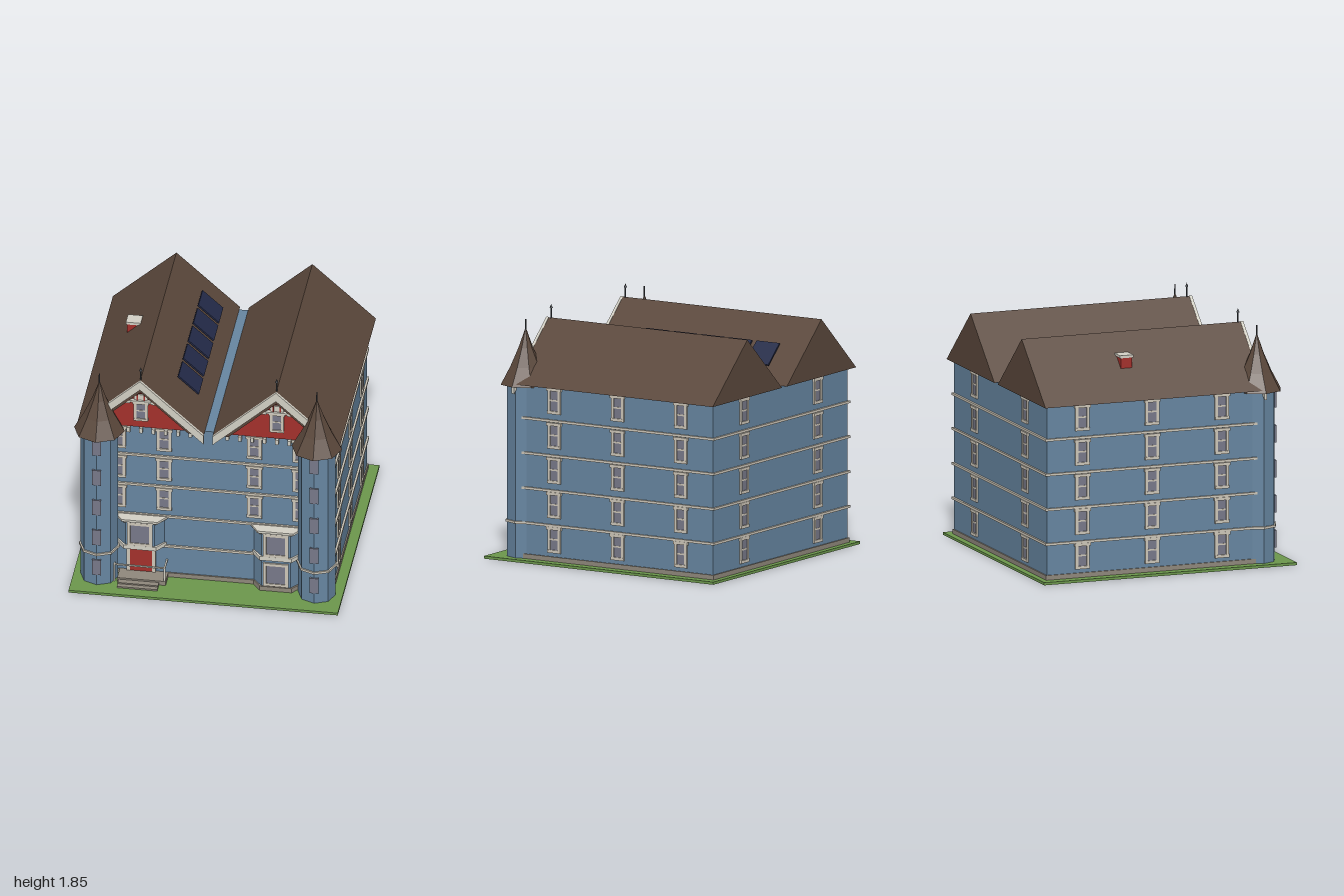
import * as THREE from 'three';

const mat = (name, color) => Object.assign(new THREE.MeshStandardMaterial({ color }), { name });

export function createModel() {
  const model = new THREE.Group();
  model.name = 'house';
  const M = {
    wall: mat('wall blue', 0x6685a0), roof: mat('roof brown', 0x5a473b), red: mat('gable red', 0xa3302b),
    trim: mat('trim cream', 0xd2cfc4), frame: mat('frame beige', 0xcdc6b8), glass: mat('glass grey', 0x777888),
    stone: mat('stone', 0x8f877b), grass: mat('grass', 0x6b964c), solar: mat('solar navy', 0x232a48),
    iron: mat('iron', 0x3f4349),
  };
  const add = (name, geo, m, x = 0, y = 0, z = 0, parent = model) => {
    const mesh = new THREE.Mesh(geo, m);
    mesh.name = name;
    mesh.position.set(x, y, z);
    parent.add(mesh);
    return mesh;
  };
  const box = (name, w, h, d, m, x, y, z, parent) => add(name, new THREE.BoxGeometry(w, h, d), m, x, y, z, parent);
  const poly = (pts) => new THREE.Shape(pts.map(([x, y]) => new THREE.Vector2(x, y)));
  const extrude = (pts, depth) => new THREE.ExtrudeGeometry(poly(pts), { depth, bevelEnabled: false });

  // Ground, walls and plinth
  const BX = 0.915, ZF = 0.7, ZB = -0.945, ZC = (ZF + ZB) / 2, DZ = ZF - ZB, RX = 0.505;
  box('ground', 2, 0.02, 2, M.grass, 0, 0.01, 0);
  box('walls', BX * 2, 1.3, DZ, M.wall, 0, 0.67, ZC);
  box('plinth', BX * 2 + 0.02, 0.035, DZ + 0.02, M.stone, 0, 0.0375, ZC);
  for (const y of [0.287, 0.547, 0.808, 1.068]) box('stringCourse', BX * 2 + 0.03, 0.018, DZ + 0.03, M.frame, 0, y, ZC);

  // Sash window with header, sill and two panes
  const sash = (x, y, z, turn = 0) => {
    const g = new THREE.Group();
    g.name = 'sashWindow';
    g.position.set(x, y, z);
    g.rotation.y = turn;
    model.add(g);
    for (const s of [-1, 1]) box('jamb', 0.022, 0.18, 0.024, M.frame, s * 0.044, 0, 0, g);
    box('header', 0.125, 0.022, 0.034, M.frame, 0, 0.087, 0, g);
    box('sill', 0.112, 0.022, 0.03, M.frame, 0, -0.085, 0, g);
    box('glass', 0.07, 0.16, 0.012, M.glass, 0, 0, 0, g);
    box('meetingRail', 0.07, 0.012, 0.018, M.frame, 0, 0.005, 0, g);
    return g;
  };
  for (let f = 0; f < 5; f++) {
    const y = 0.18 + f * 0.259;
    for (const s of [-1, 1]) {
      for (const z of [0.437, -0.115, -0.667]) sash(s * BX, y, z, s * Math.PI / 2);
      sash(s * 0.5, y, ZB, Math.PI);
      if (f > 1) for (const x of [0.335, 0.675]) sash(s * x, y, ZF);
    }
  }

  // Twin gabled roofs with decorated fronts
  const eave = 1.32, ridge = 1.75, half = 0.472, slope = (ridge - eave) / half;
  for (const s of [-1, 1]) {
    const g = new THREE.Group();
    g.name = 'gable';
    g.position.x = s * RX;
    model.add(g);
    add('roof', extrude([[-half, eave], [half, eave], [0, ridge]], 1.69), M.roof, 0, 0, -0.98, g);
    add('roofOverhang', extrude([[-half, eave], [-0.355, eave], [0, 1.645], [0.355, eave], [half, eave], [0, ridge]], 0.04),
      M.roof, 0, 0, 0.71, g);
    add('gableFace', extrude([[-0.4, eave], [0.4, eave], [0, 1.685]], 0.006), M.red, 0, 0, 0.71, g);
    add('bargeboard', extrude([[-half, eave - 0.07], [0, ridge - 0.07], [half, eave - 0.07], [half, eave + 0.003],
      [0, ridge + 0.003], [-half, eave + 0.003]], 0.022), M.trim, 0, 0, 0.75, g);
    sash(s * RX, 1.465, 0.72).scale.set(0.95, 0.85, 1);
    // Gable-top truss
    box('collarBeam', 0.2, 0.014, 0.03, M.trim, 0, 1.556, 0.73, g);
    box('trussPanel', 0.1, 0.05, 0.012, M.trim, 0, 1.585, 0.722, g);
    for (const t of [-1, 1]) {
      box('bracket', 0.055, 0.022, 0.03, M.trim, t * 0.105, 1.55, 0.73, g);
      box('trussPost', 0.01, 0.06, 0.012, M.red, t * 0.027, 1.59, 0.728, g);
    }
    add('trussArch', new THREE.TorusGeometry(0.027, 0.005, 6, 12, Math.PI), M.red, 0, 1.605, 0.733, g);
    // Brackets under the gable
    for (let i = -4; i <= 4; i++) box('corbel', 0.024, 0.04, 0.035, M.trim, i * 0.092, 1.296, 0.716, g);
    // Finial
    add('finialRod', new THREE.CylinderGeometry(0.005, 0.006, 0.09, 8), M.iron, 0, 1.785, 0.73, g);
    add('finialTip', new THREE.ConeGeometry(0.012, 0.03, 8), M.iron, 0, 1.837, 0.73, g);
  }

  // Octagonal corner towers
  for (const s of [-1, 1]) {
    const g = new THREE.Group();
    g.name = 'tower';
    g.position.set(s * 0.808, 0, 0.758);
    model.add(g);
    const oct = (r, h) => new THREE.CylinderGeometry(r, r, h, 8).toNonIndexed();
    const flat = (geo) => { geo.computeVertexNormals(); return geo; };
    add('towerWall', flat(oct(0.139, 1.29)), M.wall, 0, 0.665, 0, g);
    add('towerBand', flat(oct(0.151, 0.018)), M.frame, 0, 0.287, 0, g);
    const profile = [[0, 1.3], [0.188, 1.3], [0.115, 1.435], [0.055, 1.57], [0.001, 1.72]].map((p) => new THREE.Vector2(...p));
    add('towerRoof', flat(new THREE.LatheGeometry(profile, 8).toNonIndexed()), M.roof, 0, 0, 0, g);
    add('spire', new THREE.CylinderGeometry(0.005, 0.006, 0.09, 8), M.iron, 0, 1.737, 0, g);
    for (let f = 0; f < 5; f++) box('towerWindow', 0.065, 0.13, 0.022, M.glass, 0, 0.175 + f * 0.262, 0.133, g);
  }

  // Canted bays: trapezoid blocks between two heights
  const bayBlock = (name, x, y0, y1, grow, m) => {
    const a = 0.19 + grow, b = 0.108 + grow, d = 0.075 + grow;
    const geo = extrude([[-a, -0.02], [a, -0.02], [b, d], [-b, d]], y1 - y0).rotateX(Math.PI / 2);
    add(name, geo, m, x, y1, ZF);
  };
  const bayWindow = (x, y) => {
    box('bayGlass', 0.15, 0.16, 0.01, M.glass, x, y, 0.778);
    for (const s of [-1, 1]) {
      box('bayFrameSide', 0.025, 0.2, 0.02, M.frame, x + s * 0.082, y, 0.778);
      box('bayFrameRail', 0.15, 0.022, 0.02, M.frame, x, y + s * 0.088, 0.778);
    }
  };
  for (const s of [-1, 1]) {
    const x = s * RX;
    bayBlock('bayUpper', x, 0.29, 0.52, 0, M.wall);
    bayBlock('bayBand', x, 0.285, 0.318, 0.012, M.trim);
    bayBlock('bayCornice', x, 0.515, 0.532, 0.012, M.trim);
    bayBlock('bayCap', x, 0.53, 0.548, 0.025, M.trim);
    bayWindow(x, 0.418);
  }
  bayBlock('bayLower', RX, 0.02, 0.29, 0, M.wall);
  bayBlock('bayPlinth', RX, 0.02, 0.056, 0.01, M.stone);
  bayWindow(RX, 0.163);

  // Entrance: door, steps and railing
  box('door', 0.165, 0.235, 0.02, M.red, -RX, 0.172, 0.705);
  for (const s of [-1, 1]) box('doorJamb', 0.024, 0.235, 0.03, M.frame, -RX + s * 0.095, 0.172, 0.705);
  box('landing', 0.36, 0.035, 0.14, M.stone, -0.485, 0.0375, 0.76);
  box('upperStep', 0.3, 0.022, 0.05, M.stone, -0.505, 0.031, 0.85);
  box('lowerStep', 0.3, 0.012, 0.045, M.stone, -0.505, 0.026, 0.89);
  for (const x of [-0.688, -0.314]) {
    box('railPost', 0.012, 0.15, 0.012, M.trim, x, 0.095, 0.82);
    box('sideRail', 0.012, 0.01, 0.12, M.trim, x, 0.165, 0.76);
  }
  box('frontRail', 0.386, 0.01, 0.012, M.trim, -0.501, 0.165, 0.82);

  // Chimney
  box('chimney', 0.095, 0.16, 0.09, M.red, -0.705, 1.525, -0.25);
  box('chimneyCap', 0.11, 0.02, 0.105, M.trim, -0.705, 1.612, -0.25);

  // Solar panels on the inner slope
  for (let i = 0; i < 5; i++) {
    const p = box('solarPanel', 0.207, 0.012, 0.2, M.solar, -0.203, ridge - 0.302 * slope + 0.037, -0.66 + i * 0.24);
    p.rotation.z = -Math.atan(slope);
  }
  return model;
}
